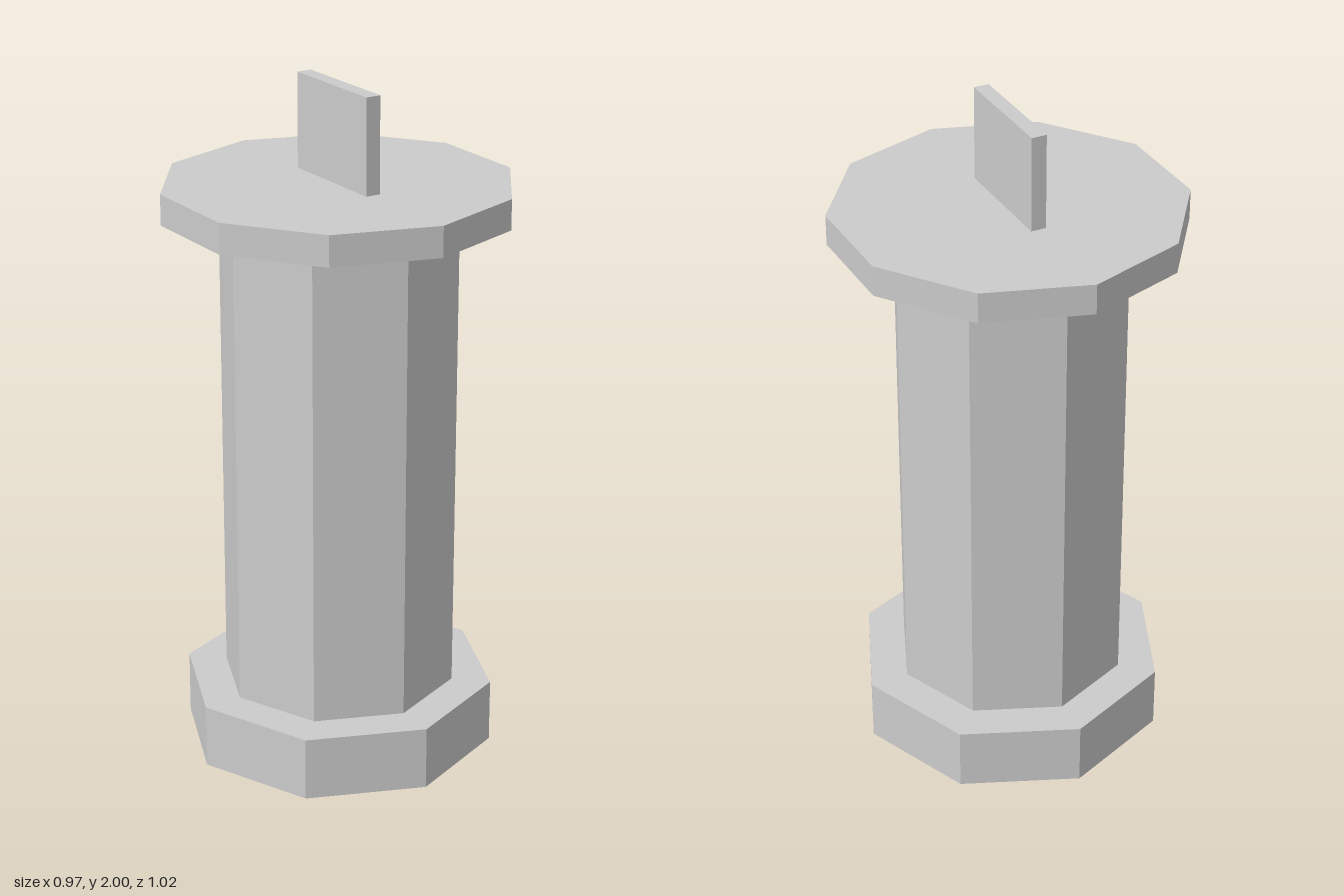
import * as THREE from 'three';

export function createModel() {
  const group = new THREE.Group();
  const material = new THREE.MeshStandardMaterial({ color: 0xcccccc, flatShading: true });

  function add(name, geometry, bottom, top) {
    const mesh = new THREE.Mesh(geometry, material);
    mesh.name = name;
    mesh.position.y = (bottom + top) / 2;
    group.add(mesh);
  }

  // Upright prism with one corner facing the front
  function prism(name, radius, sides, bottom, top) {
    add(name, new THREE.CylinderGeometry(radius, radius, top - bottom, sides), bottom, top);
  }

  prism('base', 0.465, 8, 0, 0.19);
  prism('column', 0.348, 8, 0.19, 1.63);
  prism('capPlate', 0.51, 10, 1.63, 1.72);

  // Thin upright fin on the cap
  add('topFin', new THREE.BoxGeometry(0.045, 0.28, 0.35), 1.72, 2);

  return group;
}
